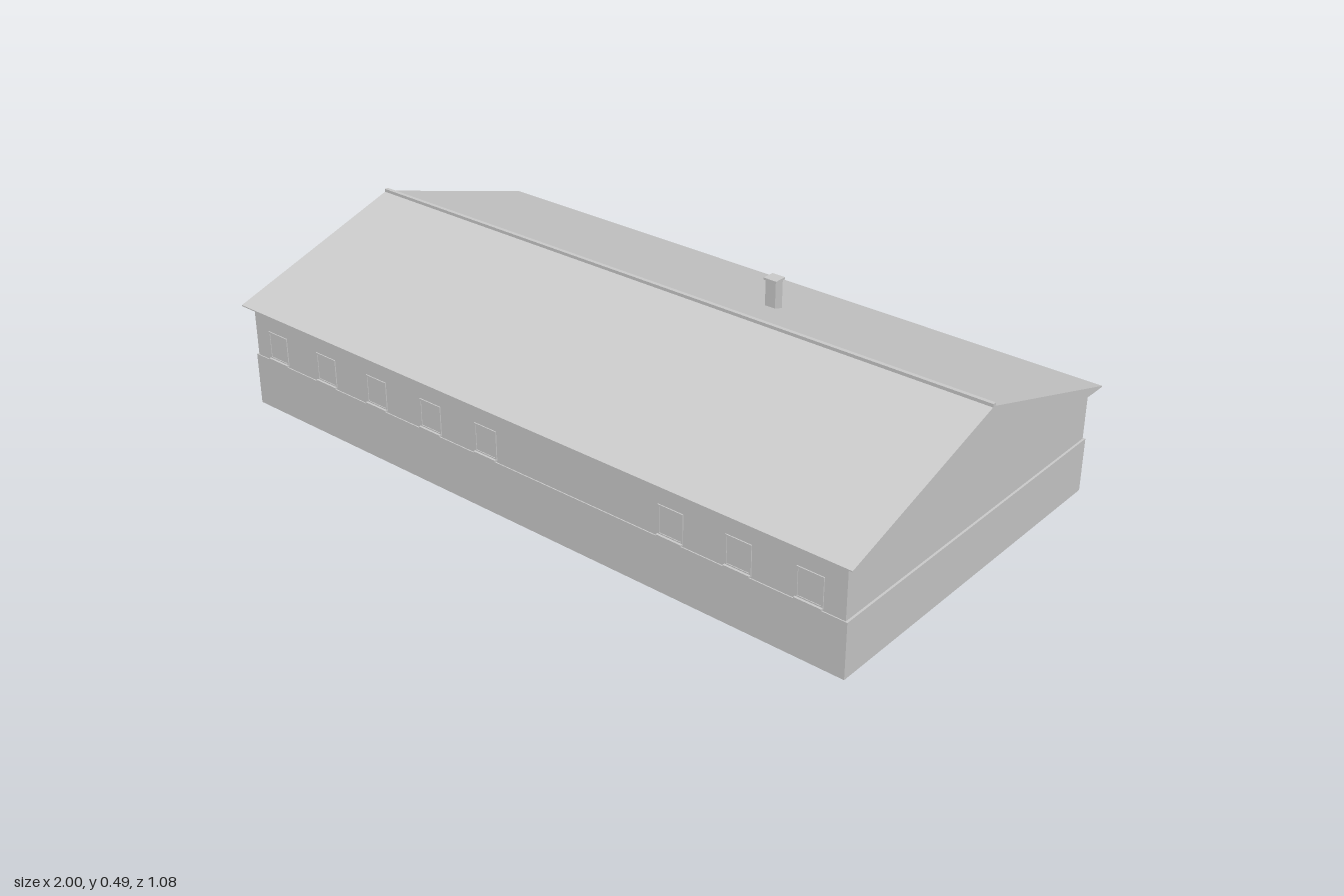
import * as THREE from 'three';

export function createModel() {
  const model = new THREE.Group();
  const grey = new THREE.MeshStandardMaterial({ color: 0xcccccc });
  grey.name = 'plain grey';

  const add = (parent, name, geometry, x = 0, y = 0, z = 0) => {
    const mesh = new THREE.Mesh(geometry, grey);
    mesh.name = name;
    mesh.position.set(x, y, z);
    parent.add(mesh);
    return mesh;
  };
  // Box given by its centre in x and z and its bottom and top in y
  const box = (parent, name, w, d, y0, y1, x = 0, z = 0) =>
    add(parent, name, new THREE.BoxGeometry(w, y1 - y0, d), x, (y0 + y1) / 2, z);

  // Walls: the plinth stands slightly proud of the upper wall
  box(model, 'plinth', 1.964, 1.042, 0, 0.15);
  box(model, 'upperWall', 1.952, 1.036, 0.15, 0.298);

  // Solid gable roof with a thin eave edge
  const gable = new THREE.Shape([
    [-0.54, 0.296], [0.54, 0.296], [0.54, 0.299], [0, 0.466], [-0.54, 0.299],
  ].map(([z, y]) => new THREE.Vector2(z, y)));
  const roof = new THREE.ExtrudeGeometry(gable, { depth: 2, bevelEnabled: false });
  roof.translate(0, 0, -1).rotateY(Math.PI / 2);
  add(model, 'roof', roof);
  box(model, 'ridgeCap', 2, 0.011, 0.46, 0.473);

  // Chimney
  const chimney = new THREE.Group();
  chimney.name = 'chimney';
  box(chimney, 'chimneyStack', 0.032, 0.03, 0.38, 0.48, 0.233, -0.202);
  box(chimney, 'chimneyCap', 0.04, 0.037, 0.48, 0.486, 0.233, -0.202);
  model.add(chimney);

  // Flat frame with rectangular openings, standing on y = 0 and facing +z
  const frame = (w, h, rim, panes, depth) => {
    const shape = new THREE.Shape([
      new THREE.Vector2(-w / 2, 0), new THREE.Vector2(w / 2, 0),
      new THREE.Vector2(w / 2, h), new THREE.Vector2(-w / 2, h),
    ]);
    const paneW = (w - rim * (panes + 1)) / panes;
    for (let i = 0; i < panes; i++) {
      const x0 = -w / 2 + rim + i * (paneW + rim);
      shape.holes.push(new THREE.Path([
        new THREE.Vector2(x0, rim), new THREE.Vector2(x0, h - rim),
        new THREE.Vector2(x0 + paneW, h - rim), new THREE.Vector2(x0 + paneW, rim),
      ]));
    }
    return new THREE.ExtrudeGeometry(shape, { depth, bevelEnabled: false });
  };

  // Windows: shallow frame, pane and projecting sill
  const windowFrame = frame(0.074, 0.08, 0.005, 1, 0.003);
  const addWindow = (x, side) => {
    const win = new THREE.Group();
    win.name = 'window';
    add(win, 'windowFrame', windowFrame);
    box(win, 'windowPane', 0.068, 0.002, 0.003, 0.077);
    box(win, 'windowSill', 0.074, 0.011, -0.003, 0.002, 0, 0.004);
    win.position.set(x, 0.157, side * 0.518);
    if (side < 0) win.rotation.y = Math.PI;
    model.add(win);
  };
  for (const x of [-0.885, -0.69, -0.495, -0.295, -0.1, 0.49, 0.685, 0.88]) addWindow(x, 1);
  for (const x of [-0.885, -0.69, -0.495, -0.295, 0.1, 0.295, 0.495, 0.69, 0.885]) addWindow(x, -1);

  // Back door with two leaves and a step
  const door = new THREE.Group();
  door.name = 'door';
  add(door, 'doorFrame', frame(0.066, 0.132, 0.008, 2, 0.006));
  box(door, 'doorLeaves', 0.06, 0.008, 0.003, 0.129);
  box(door, 'doorStep', 0.075, 0.025, -0.004, 0.003, 0, 0.01);
  door.position.set(-0.105, 0.105, -0.518);
  door.rotation.y = Math.PI;
  model.add(door);

  return model;
}
